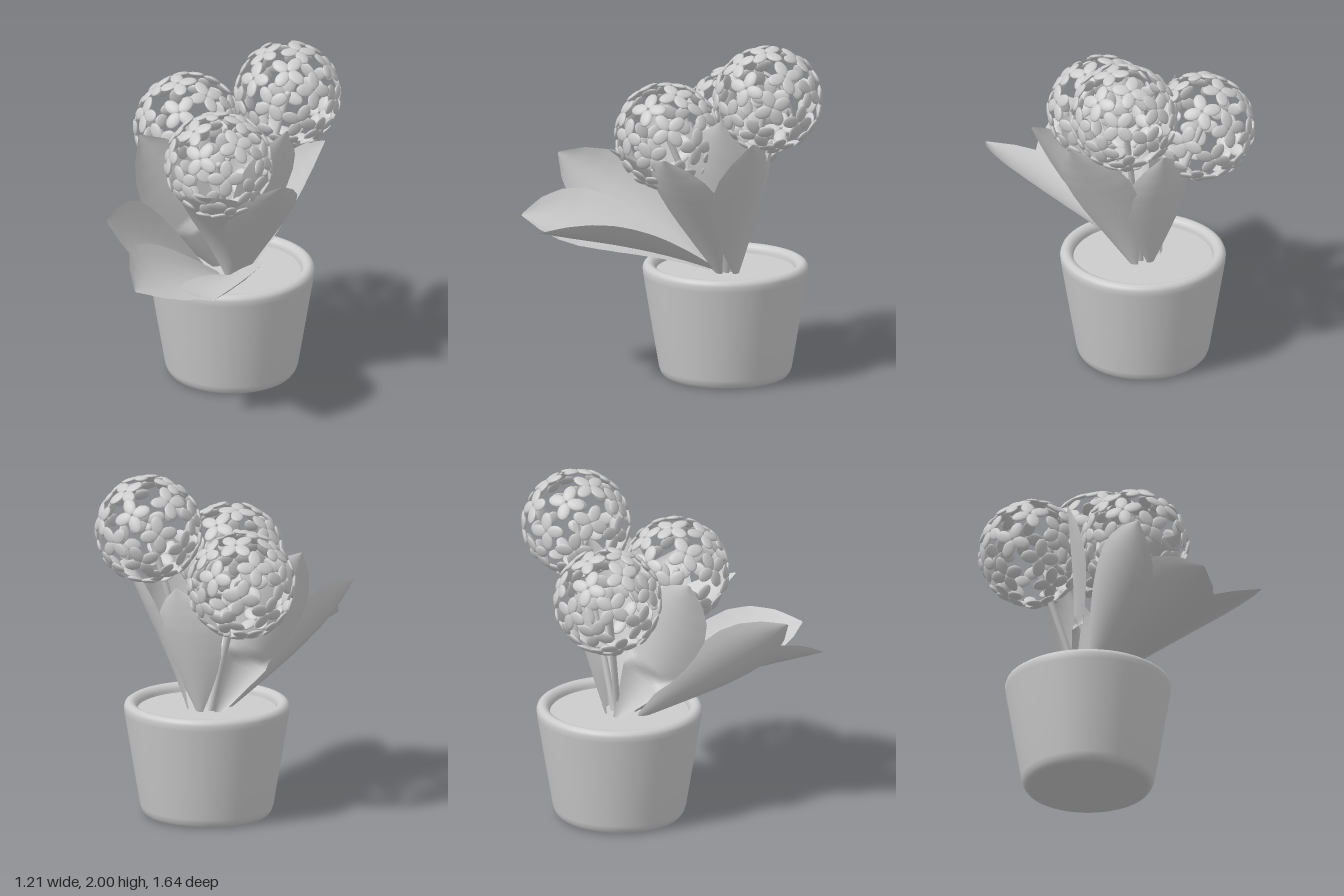
import * as THREE from 'three';
import { mergeGeometries } from 'three/addons/utils/BufferGeometryUtils.js';

const V = (x, y, z) => new THREE.Vector3(x, y, z);
const AXIS_Z = -0.34; // the pot stands behind the origin
const solid = new THREE.MeshStandardMaterial({ color: 0xcccccc });
const thin = new THREE.MeshStandardMaterial({ color: 0xcccccc, side: THREE.DoubleSide });

function add(parent, name, geometry, material = solid) {
  const mesh = new THREE.Mesh(geometry, material);
  mesh.name = name;
  parent.add(mesh);
  return mesh;
}

// Half width of a leaf along its length, 0..1
const WIDTHS = [0.1, 0.32, 0.53, 0.73, 0.89, 0.98, 1, 0.86, 0.54, 0.03];
function leafWidth(t) {
  const f = t * (WIDTHS.length - 1);
  const i = Math.min(Math.floor(f), WIDTHS.length - 2);
  return THREE.MathUtils.lerp(WIDTHS[i], WIDTHS[i + 1], f - i);
}

// Cupped leaf swept along a curve from base through middle to tip
function leafGeometry({ base, mid, tip, side, half = 0.21, cup = 0.07 }) {
  const control = mid.clone().multiplyScalar(2).addScaledVector(base, -0.5).addScaledVector(tip, -0.5);
  const curve = new THREE.QuadraticBezierCurve3(base, control, tip);
  const across = 8, along = 27;
  const geo = new THREE.PlaneGeometry(1, 1, across, along);
  const pos = geo.attributes.position;
  for (let j = 0; j <= along; j++) {
    const t = j / along;
    const p = curve.getPoint(t), tangent = curve.getTangent(t);
    const s = side.clone().addScaledVector(tangent, -side.dot(tangent)).normalize();
    const n = s.clone().cross(tangent);
    if (n.dot(V(0, 2, AXIS_Z).sub(p)) < 0) n.negate();
    const w = half * leafWidth(t);
    for (let i = 0; i <= across; i++) {
      const u = (i / across) * 2 - 1;
      const q = p.clone().addScaledVector(s, u * w).addScaledVector(n, cup * (w / half) * (u * u - 0.4));
      pos.setXYZ(j * (across + 1) + i, q.x, q.y, q.z);
    }
  }
  geo.computeVertexNormals();
  return geo;
}

// Four flat oval petals lying in the XY plane
function flowerGeometry() {
  const petals = [];
  for (let k = 0; k < 4; k++) {
    const petal = new THREE.SphereGeometry(1, 12, 8);
    petal.scale(0.054, 0.037, 0.013);
    petal.rotateY(0.12);
    petal.translate(0.056, 0, 0);
    petal.rotateZ((k * Math.PI) / 2);
    petals.push(petal);
  }
  return mergeGeometries(petals);
}

// Hollow ball of flowers spread evenly over a sphere
function flowerBallGeometry(seed) {
  const count = 29, flower = flowerGeometry(), parts = [];
  for (let i = 0; i < count; i++) {
    const y = 1 - (2 * (i + 0.5)) / count;
    const r = Math.sqrt(1 - y * y);
    const a = i * Math.PI * (3 - Math.sqrt(5)) + seed;
    const dir = V(r * Math.cos(a), y, r * Math.sin(a));
    const turn = new THREE.Quaternion().setFromUnitVectors(V(0, 0, 1), dir);
    turn.multiply(new THREE.Quaternion().setFromAxisAngle(V(0, 0, 1), i * 2.3 + seed));
    const radius = 0.293 + 0.005 * Math.sin(i * 4.7 + seed);
    parts.push(flower.clone().applyQuaternion(turn).translate(dir.x * radius, dir.y * radius, dir.z * radius));
  }
  return mergeGeometries(parts);
}

export function createModel() {
  const model = new THREE.Group();
  model.name = 'pottedFlowers';

  // Pot with rounded foot and rim
  const potProfile = [
    [0, 0], [0.34, 0], [0.358, 0.006], [0.372, 0.025], [0.382, 0.055], [0.428, 0.33], [0.472, 0.6],
    [0.475, 0.632], [0.468, 0.652], [0.45, 0.664], [0.43, 0.664], [0.41, 0.652], [0.4, 0.63], [0.395, 0.58],
  ].map(([x, y]) => new THREE.Vector2(x, y));
  add(model, 'pot', new THREE.LatheGeometry(potProfile, 64), thin).position.z = AXIS_Z;
  const soil = add(model, 'soil', new THREE.CylinderGeometry(0.4, 0.39, 0.03, 64));
  soil.position.set(0, 0.6, AXIS_Z);

  // Flower heads on stems
  const heads = [V(0.29, 1.685, -0.505), V(-0.3, 1.42, -0.508), V(0.01, 1.435, 0.008)];
  heads.forEach((center, i) => {
    const plant = new THREE.Group();
    plant.name = 'flower' + (i + 1);
    model.add(plant);
    add(plant, 'flowerHead', flowerBallGeometry(i * 1.7 + 0.4)).position.copy(center);
    const root = V(center.x * 0.1, 0.58, AXIS_Z + (center.z - AXIS_Z) * 0.1);
    const bend = root.clone().lerp(center, 0.5).add(V(0, 0.06, 0));
    const path = new THREE.QuadraticBezierCurve3(root, bend, center);
    add(plant, 'stem', new THREE.TubeGeometry(path, 16, 0.019, 10));
    const end = add(plant, 'stemTip', new THREE.SphereGeometry(0.019, 10, 8));
    end.position.copy(center);
  });

  // Leaves: two spread over the front edge, the rest rising around the stems
  const leaves = [
    { base: V(0.0, 0.62, -0.28), mid: V(0.12, 0.86, 0.3), tip: V(0.18, 0.96, 0.82), side: V(0.93, 0.33, 0), half: 0.24 },
    { base: V(-0.04, 0.62, -0.26), mid: V(-0.16, 0.86, 0.3), tip: V(-0.29, 0.95, 0.79), side: V(-0.87, 0.5, 0), half: 0.25 },
    { base: V(-0.1, 0.61, -0.25), mid: V(-0.34, 0.95, 0.15), tip: V(-0.53, 1.24, 0.5), side: V(0.3, -0.75, 0.55) },
    { base: V(-0.09, 0.61, -0.39), mid: V(-0.27, 1.1, -0.18), tip: V(-0.48, 1.53, -0.08), side: V(0.75, 0, -0.66) },
    { base: V(0.07, 0.61, -0.28), mid: V(0.23, 1.03, -0.06), tip: V(0.42, 1.4, 0.15), side: V(0.77, 0, -0.64) },
    { base: V(0.0, 0.61, -0.27), mid: V(0.01, 1.05, -0.03), tip: V(0, 1.38, 0.36), side: V(1, 0, 0) },
    { base: V(0.01, 0.61, -0.42), mid: V(0.03, 1.0, -0.51), tip: V(0.07, 1.38, -0.6), side: V(1, 0, 0.15) },
    { base: V(0.1, 0.61, -0.38), mid: V(0.29, 1.05, -0.35), tip: V(0.55, 1.49, -0.34), side: V(0.5, 0, 0.85) },
    { base: V(0.06, 0.61, -0.32), mid: V(0.2, 1.1, -0.25), tip: V(0.36, 1.59, -0.21), side: V(0.6, 0, -0.8) },
  ];
  leaves.forEach((leaf, i) => add(model, 'leaf' + (i + 1), leafGeometry(leaf), thin));

  return model;
}
